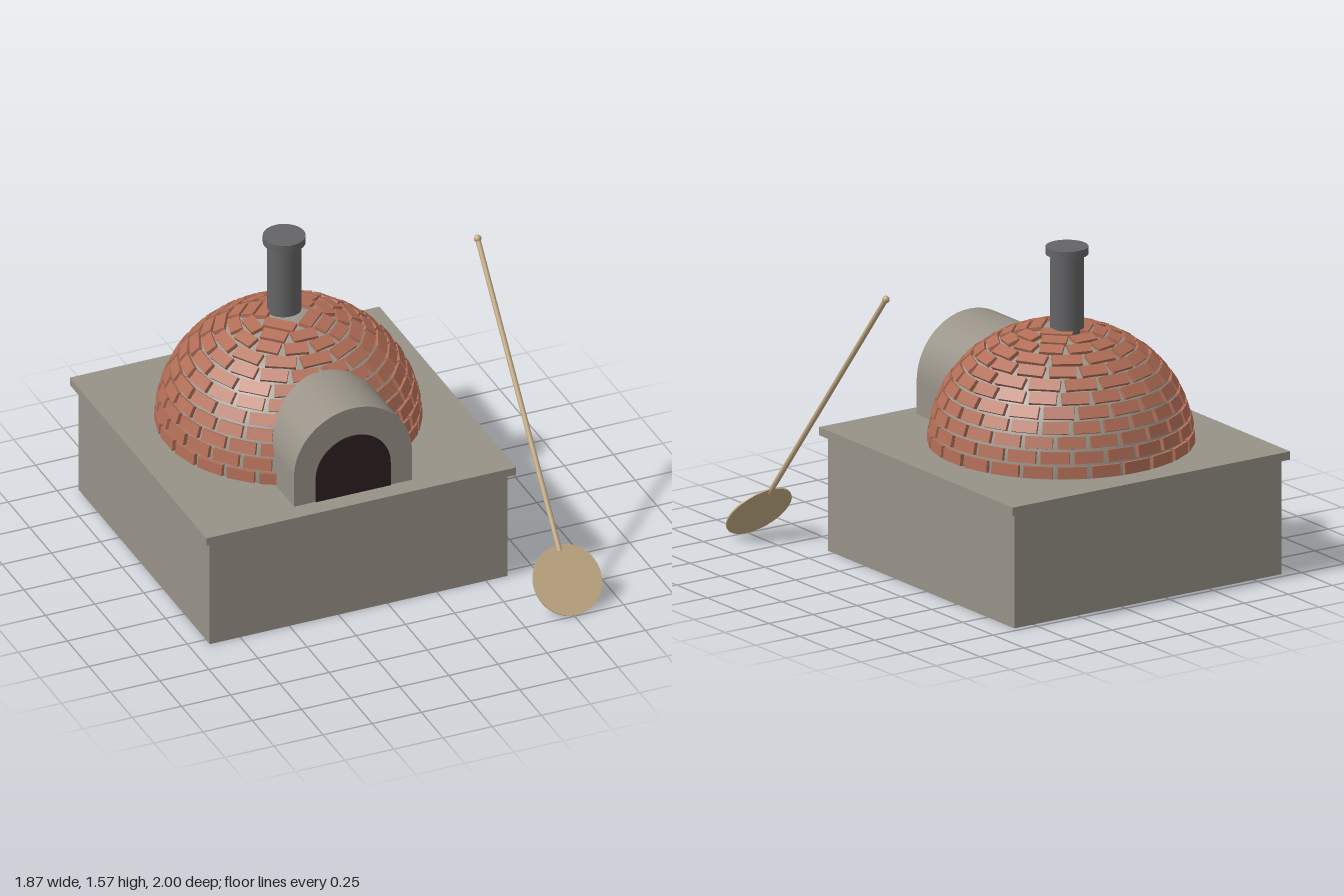
import * as THREE from 'three';
import { mergeGeometries } from 'three/addons/utils/BufferGeometryUtils.js';

const mat = (name, color) => {
  const m = new THREE.MeshStandardMaterial({ color });
  m.name = name;
  return m;
};

export function createModel() {
  const model = new THREE.Group();
  model.name = 'brickOven';
  const concrete = mat('concrete', 0x989287);
  const mortar = mat('mortar', 0x99978c);
  const brick = mat('brick', 0xb26e57);
  const metal = mat('chimneyMetal', 0x646466);
  const soot = mat('soot', 0x2c2020);
  const wood = mat('wood', 0xc2aa84);

  const add = (name, geometry, material, x, y, z, parent = model) => {
    const mesh = new THREE.Mesh(geometry, material);
    mesh.name = name;
    mesh.position.set(x, y, z);
    parent.add(mesh);
    return mesh;
  };

  const cx = -0.148;

  // Plinth and worktop
  add('plinth', new THREE.BoxGeometry(1.515, 0.56, 1.515), concrete, cx, 0.28, -0.2125);
  add('worktop', new THREE.BoxGeometry(1.575, 0.04, 1.575), concrete, cx, 0.58, -0.2125);

  // Mortar dome
  const R = 0.606, H = 0.567;
  const dome = new THREE.Group();
  dome.name = 'dome';
  dome.position.set(cx, 0.6, -0.265);
  model.add(dome);
  const shell = new THREE.SphereGeometry(R, 64, 24, 0, Math.PI * 2, 0, Math.PI / 2);
  shell.scale(1, H / R, 1);
  add('mortarShell', shell, mortar, 0, 0, 0, dome);

  // Courses of bricks, joints staggered on alternate courses
  const rows = 13, bricks = [], step = Math.PI / 2 / rows;
  const pose = new THREE.Object3D();
  pose.rotation.order = 'YXZ';
  for (let i = 0; i < rows - 1; i++) {
    const phi = (i + 0.5) * step;
    const r = R * Math.cos(phi), y = H * Math.sin(phi);
    const tilt = Math.atan2(Math.sin(phi) / H, Math.cos(phi) / R);
    const rowHeight = step * Math.hypot(R * Math.sin(phi), H * Math.cos(phi));
    const count = Math.max(4, 4 * Math.round((2 * Math.PI * r) / 0.155 / 4));
    const width = (2 * Math.PI * r) / count - 0.021;
    for (let k = 0; k < count; k++) {
      const a = ((k + (i % 2) / 2) / count) * Math.PI * 2;
      pose.position.set(r * Math.sin(a), y, r * Math.cos(a));
      pose.rotation.set(-tilt, a, 0);
      pose.updateMatrix();
      bricks.push(new THREE.BoxGeometry(width, rowHeight - 0.012, 0.03).applyMatrix4(pose.matrix));
    }
  }
  add('bricks', mergeGeometries(bricks), brick, 0, 0, 0, dome);

  // Arched entrance and its dark opening
  const arch = (radius, spring, depth) => {
    const s = new THREE.Shape();
    s.moveTo(-radius, 0);
    s.lineTo(radius, 0);
    s.lineTo(radius, spring);
    s.absarc(0, spring, radius, 0, Math.PI, false);
    s.lineTo(-radius, 0);
    return new THREE.ExtrudeGeometry(s, { depth, bevelEnabled: false, curveSegments: 32 });
  };
  add('entranceArch', arch(0.3, 0.163, 0.68), concrete, cx, 0.6, -0.2);
  add('opening', arch(0.19, 0.125, 0.008), soot, cx, 0.6, 0.477);

  // Chimney and cap
  add('chimney', new THREE.CylinderGeometry(0.08, 0.08, 0.43, 32), metal, cx, 1.315, -0.313);
  add('chimneyCap', new THREE.CylinderGeometry(0.1, 0.1, 0.037, 32), metal, cx, 1.547, -0.313);

  // Leaning peel: round blade, handle and knob along its own y axis
  const peel = new THREE.Group();
  peel.name = 'peel';
  peel.position.set(0.76, 0.134, 0.893);
  peel.rotation.x = -Math.atan2(0.945, 1.175);
  model.add(peel);
  const blade = new THREE.CylinderGeometry(0.17, 0.17, 0.007, 48).rotateX(Math.PI / 2);
  add('peelBlade', blade, wood, 0, 0, 0, peel);
  add('peelHandle', new THREE.CylinderGeometry(0.0125, 0.0125, 1.51, 16), wood, 0, 0.895, 0, peel);
  add('peelKnob', new THREE.SphereGeometry(0.018, 16, 12), wood, 0, 1.65, 0, peel);

  return model;
}
